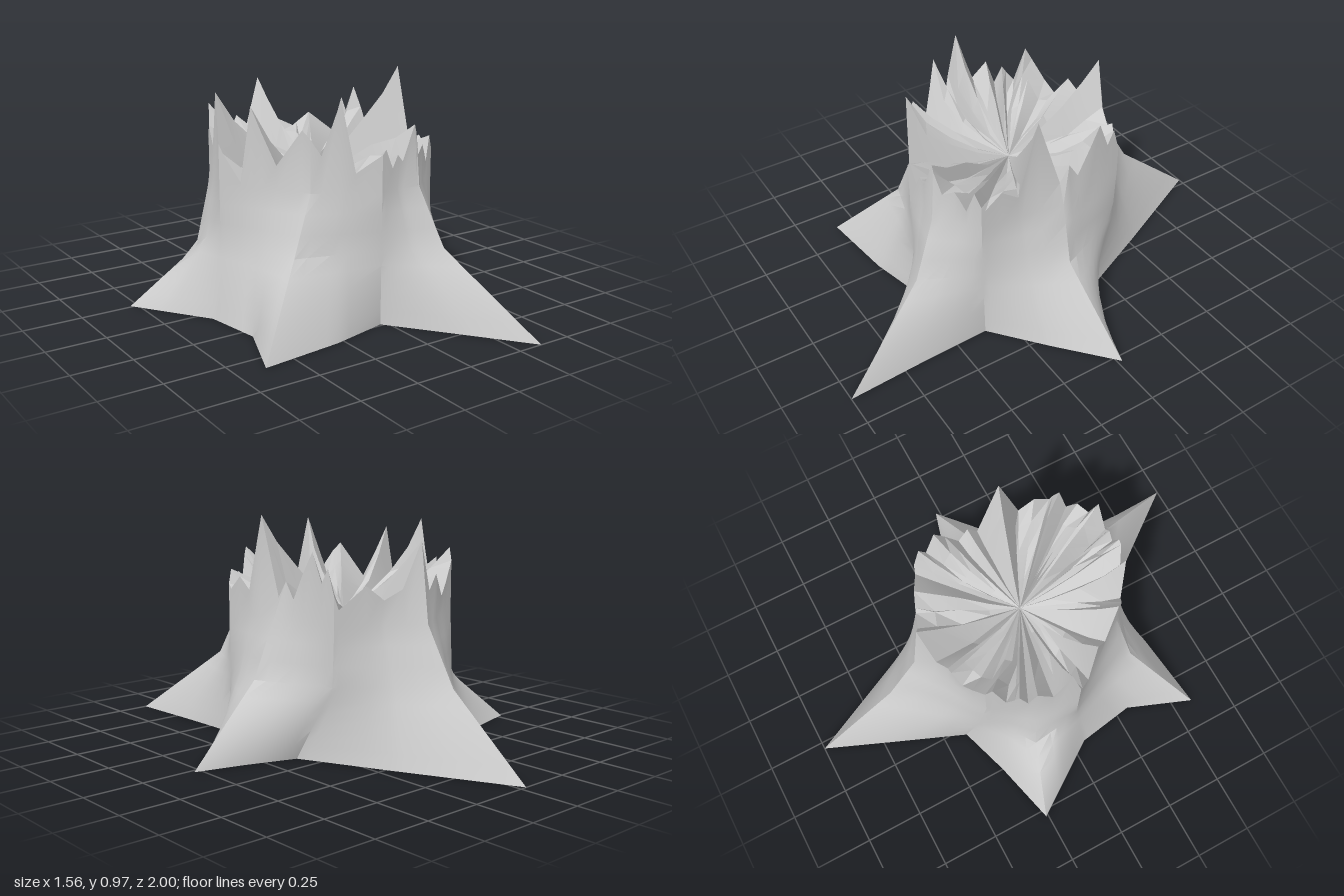
import * as THREE from 'three';
import { toCreasedNormals } from 'three/addons/utils/BufferGeometryUtils.js';

// Outline loops [x, z], alternating root tip / flank / notch / flank, starting at the front root
const ground = [
  [0.36, 1], [0.34, 0.65], [0.33, 0.36], [0.55, 0.18], [0.78, -0.02],
  [0.57, -0.08], [0.37, -0.15], [0.2, -0.52], [-0.03, -1], [-0.16, -0.69],
  [-0.28, -0.4], [-0.5, -0.33], [-0.78, -0.26], [-0.67, -0.1], [-0.56, 0.06],
  [-0.52, 0.31], [-0.63, 0.59], [-0.28, 0.55], [-0.03, 0.49], [0.17, 0.75],
];
const knee = [
  [0.2, 0.6], [0.26, 0.48], [0.32, 0.36], [0.4, 0.18], [0.45, 0.02],
  [0.38, -0.14], [0.31, -0.3], [0.15, -0.45], [-0.03, -0.63], [-0.17, -0.48],
  [-0.33, -0.35], [-0.42, -0.25], [-0.51, -0.17], [-0.51, -0.07], [-0.5, 0.03],
  [-0.43, 0.2], [-0.37, 0.38], [-0.2, 0.43], [-0.03, 0.49], [0.09, 0.54],
];
const trunk = [
  [0.155, 0.49], [0.24, 0.41], [0.32, 0.36], [0.335, 0.18], [0.365, 0],
  [0.33, -0.15], [0.31, -0.31], [0.14, -0.39], [-0.03, -0.49], [-0.19, -0.39],
  [-0.35, -0.32], [-0.41, -0.22], [-0.45, -0.14], [-0.475, -0.05], [-0.5, 0.03],
  [-0.39, 0.18], [-0.27, 0.345], [-0.15, 0.42], [-0.03, 0.49], [0.06, 0.48],
];
const N = ground.length;

// The rim is the trunk outline, drawn in a little above the front, side and rear roots
const drawnIn = { 0: [0.15, 0.47], 4: [0.335, 0], 8: [-0.03, -0.45] };
const rimLoop = trunk.map((p, i) => drawnIn[i] ?? p);

// Splintered rim: [position along the loop, height], peaks and valleys
const splinters = [
  [0.3, 0.67], [0.8, 0.7], [1.3, 0.62], [1.7, 0.72], [2.1, 0.64], [2.5, 0.7], [2.9, 0.65],
  [3.4, 0.97], [4, 0.64], [4.3, 0.71], [4.6, 0.64], [5.3, 0.84], [5.6, 0.72],
  [5.8, 0.78], [6.1, 0.62], [6.7, 0.71], [7.1, 0.65], [7.55, 0.69], [8, 0.88],
  [8.5, 0.67], [8.9, 0.73], [9.3, 0.63], [9.6, 0.68], [10.25, 0.82], [10.7, 0.66], [11.2, 0.73],
  [11.6, 0.65], [12, 0.76], [12.7, 0.69], [13.5, 0.92], [14.1, 0.68], [14.5, 0.57],
  [14.75, 0.88], [15.3, 0.65], [15.83, 0.8], [16.3, 0.7],
  [16.83, 0.92], [17.25, 0.63], [18.2, 0.72], [18.6, 0.64], [18.9, 0.69], [19.2, 0.66], [19.9, 0.8],
];

const lerp = THREE.MathUtils.lerp;

function outline(loop, u) {
  const i = Math.floor(u), t = u - i;
  const a = loop[i], b = loop[(i + 1) % N];
  return [lerp(a[0], b[0], t), lerp(a[1], b[1], t)];
}

function rimHeight(u) {
  const n = splinters.length;
  const after = splinters.findIndex(([s]) => s > u);
  const [u1, h1] = splinters[after < 0 ? 0 : after];
  const [u0, h0] = splinters[after < 0 ? n - 1 : (after + n - 1) % n];
  const span = (u1 - u0 + N) % N;
  return lerp(h0, h1, ((u - u0 + N) % N) / span);
}

// Skin between closed rings of equal length
function loft(rings) {
  const n = rings[0].length;
  const index = [];
  for (let r = 0; r < rings.length - 1; r++) {
    for (let i = 0; i < n; i++) {
      const a = r * n + i, b = r * n + (i + 1) % n;
      index.push(a, b, b + n, a, b + n, a + n);
    }
  }
  const geo = new THREE.BufferGeometry();
  geo.setAttribute('position', new THREE.Float32BufferAttribute(rings.flat(2), 3));
  geo.setIndex(index);
  return geo;
}

// Extra rings between two rings, leaving out the last one
function rows(a, b, count) {
  return Array.from({ length: count }, (_, k) =>
    a.map((p, i) => p.map((v, j) => lerp(v, b[i][j], k / count))));
}

export function createModel() {
  const group = new THREE.Group();
  group.name = 'treeStump';
  const material = new THREE.MeshStandardMaterial({ color: 0xcccccc });
  const add = (name, rings, crease) => {
    const mesh = new THREE.Mesh(toCreasedNormals(loft(rings), crease), material);
    mesh.name = name;
    group.add(mesh);
  };

  // Columns at every outline corner and every splinter peak or valley
  const columns = [...new Set([...ground.keys(), ...splinters.map((s) => s[0])])].sort((a, b) => a - b);
  const ring = (loop, height) => columns.map((u) => {
    const [x, z] = outline(loop, u);
    return [x, height(u), z];
  });

  // One side root bends a little lower than the others
  const kneeHeight = (u) => 0.31 - 0.07 * Math.max(0, 1 - Math.abs(u - 12));
  const base = ring(ground, () => 0);
  const bend = ring(knee, kneeHeight);
  const neck = ring(trunk, () => 0.55);
  const rim = ring(rimLoop, rimHeight);
  add('barkAndRoots', [...rows(base, bend, 5), ...rows(bend, neck, 3), neck, rim], 0.5);

  // Broken wood falling from the rim to the sunken heart, with radial ridges
  let seed = 7;
  const random = () => (seed = (seed * 16807) % 2147483647) / 2147483647;
  const heart = [-0.03, 0.555, 0.01];
  const inner = (t, fall, rough) => rim.map(([x, y, z], i) => [
    lerp(heart[0], x, t),
    lerp(heart[1], y, fall) + rough * ((i % 2 ? 0.5 : -0.5) + random() - 0.5),
    lerp(heart[2], z, t),
  ]);
  add('brokenTop', [
    rim, inner(0.82, 0.68, 0.03), inner(0.58, 0.4, 0.04), inner(0.3, 0.15, 0.02),
    rim.map(() => heart),
  ], 0.2);

  // Flat underside
  add('underside', [base.map(() => [-0.03, 0, 0]), base], 0.2);
  return group;
}
